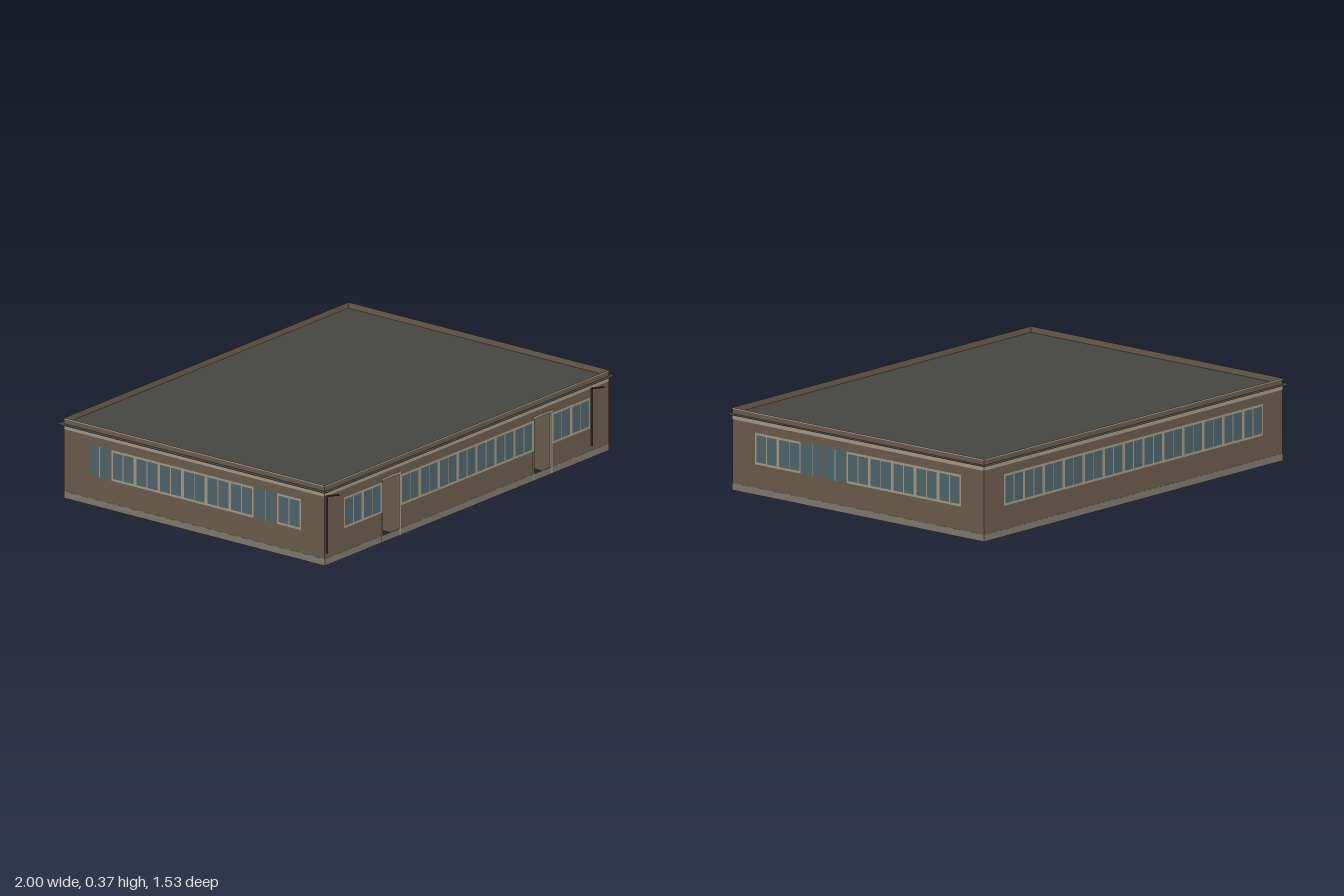
import * as THREE from 'three';
import { mergeGeometries } from 'three/addons/utils/BufferGeometryUtils.js';

const paint = (name, color, side = THREE.FrontSide) => {
  const m = new THREE.MeshStandardMaterial({ color, side });
  m.name = name;
  return m;
};

const M = 0.1303;            // module width
const NX = 15, NZ = 11;      // modules across and deep
const TOP = 0.365, EAVE = 0.338, CEILING = 0.312;
const SILL = 0.135, HEAD = 0.275;

// Box from minimum and maximum corners
function span(x0, x1, y0, y1, z0, z1) {
  const g = new THREE.BoxGeometry(x1 - x0, y1 - y0, z1 - z0);
  return g.translate((x0 + x1) / 2, (y0 + y1) / 2, (z0 + z1) / 2);
}

// Upright sheet facing +z
function sheet(x0, x1, y0, y1, z) {
  return new THREE.PlaneGeometry(x1 - x0, y1 - y0).translate((x0 + x1) / 2, (y0 + y1) / 2, z);
}

function addPart(group, name, geometries, material) {
  if (!geometries.length) return;
  const mesh = new THREE.Mesh(mergeGeometries(geometries), material);
  mesh.name = name;
  group.add(mesh);
}

// One facade along local x, facing local +z at distance d
function buildWall(name, n, d, doors, unframed, mats) {
  const wall = new THREE.Group();
  wall.name = name;
  const brick = [], base = [], trim = [], glass = [], inner = [], panel = [];
  const half = (n * M) / 2, back = d - M;

  // Two-pane window in the module starting at x, on the plane z
  const addWindow = (x, z, framed) => {
    const e = framed ? 0 : 0.006;
    glass.push(sheet(x + e, x + M - e, SILL, HEAD, z + 0.0007));
    const mid = x + M / 2, w = framed ? 0.0025 : 0.0015;
    trim.push(sheet(mid - w, mid + w, SILL, HEAD, z + 0.0014));
    if (!framed) return;
    for (const s of [x, x + M - 0.008]) trim.push(sheet(s, s + 0.008, SILL, HEAD, z + 0.0014));
    for (const y of [SILL, HEAD - 0.01]) trim.push(sheet(x, x + M, y, y + 0.01, z + 0.0014));
  };

  for (let i = 0; i < n; i++) {
    const x = -half + i * M;
    // Plinth runs on under the doors as a threshold
    base.push(span(x, x + M, 0, 0.031, d - 0.002, d + 0.0007));
    if (doors.includes(i)) {
      // Recessed entrance with an open floor
      brick.push(span(x, x + M, 0.29, EAVE, d - 0.004, d));
      for (const s of [x, x + M - 0.009]) trim.push(span(s, s + 0.009, 0, 0.29, d - 0.006, d + 0.0014));
      trim.push(span(x, x + M, 0.279, 0.29, d - 0.006, d + 0.0014));
      panel.push(sheet(x, x + M, 0.031, SILL, back + 0.0007));
      addWindow(x, back, true);
    } else {
      brick.push(span(x, x + M, 0, EAVE, d - 0.004, d));
      if (i > 0 && i < n - 1) addWindow(x, d, !unframed.includes(i));
    }
    // Cross walls between the hollow cells behind the facade
    if (i > 0) brick.push(span(x - 0.001, x + 0.001, 0, CEILING, back, d - 0.004));
  }
  inner.push(span(-half + M, half - M, 0, CEILING, back - 0.002, back));
  // Parapet, its pale cap line and the cornice band
  brick.push(sheet(-half, half, EAVE, TOP, d));
  trim.push(sheet(-half, half, TOP - 0.006, TOP, d + 0.0007));
  trim.push(sheet(-half, half, 0.314, 0.332, d + 0.0014));

  addPart(wall, name + 'Brick', brick, mats.brick);
  addPart(wall, name + 'Plinth', base, mats.concrete);
  addPart(wall, name + 'Trim', trim, mats.trim);
  addPart(wall, name + 'Glass', glass, mats.glass);
  addPart(wall, name + 'InnerWall', inner, mats.concrete);
  addPart(wall, name + 'DoorPanel', panel, mats.concrete);
  return wall;
}

export function createModel() {
  const mats = {
    brick: paint('brown brick', 0x6a5b4b, THREE.DoubleSide),
    concrete: paint('grey concrete', 0x7f796d),
    trim: paint('pale trim', 0xa39885),
    glass: paint('blue glass', 0x4e6469),
    roof: paint('dark roofing', 0x454640, THREE.DoubleSide),
    metal: paint('black metal', 0x2b2a27, THREE.DoubleSide),
  };
  const model = new THREE.Group();
  model.name = 'building';
  const house = new THREE.Group();
  house.name = 'house';
  house.position.z = -0.025;
  model.add(house);

  const hx = (NX * M) / 2, hz = (NZ * M) / 2;

  // Four facades
  const walls = [
    ['frontWall', NX, hz, 0, [3, 11], []],
    ['rearWall', NX, hz, Math.PI, [], []],
    ['positiveSideWall', NZ, hx, Math.PI / 2, [], [3, 4]],
    ['negativeSideWall', NZ, hx, -Math.PI / 2, [], [1, 8]],
  ];
  for (const [name, n, d, turn, doors, unframed] of walls) {
    const wall = buildWall(name, n, d, doors, unframed, mats);
    wall.rotation.y = turn;
    house.add(wall);
  }

  // Thin overhanging roof sheet inside the low parapet
  const roof = new THREE.Mesh(new THREE.PlaneGeometry(2, 1.474).rotateX(-Math.PI / 2), mats.roof);
  roof.name = 'roof';
  roof.position.set(0, EAVE, -0.003);
  house.add(roof);

  // Floor of square tiles, with open shafts
  const shafts = ['7,3', '3,6', '4,6', '4,7', '4,8', '11,6', '10,6', '10,7', '10,8'];
  const tiles = [], shaftWalls = [];
  for (let i = 1; i < NX - 1; i++) {
    for (let k = 1; k < NZ - 1; k++) {
      const x = -hx + i * M, z = -hz + k * M;
      if (!shafts.includes(`${i},${k}`)) {
        tiles.push(span(x, x + M, 0.001, 0.004, z, z + M));
        continue;
      }
      for (const s of [x, x + M]) shaftWalls.push(span(s - 0.001, s + 0.001, 0, CEILING, z, z + M));
      for (const s of [z, z + M]) shaftWalls.push(span(x, x + M, 0, CEILING, s - 0.001, s + 0.001));
    }
  }
  addPart(house, 'floor', tiles, mats.concrete);
  addPart(house, 'shaftWalls', shaftWalls, mats.concrete);

  // Flat downpipes with sloping spouts on the front
  for (const x of [-0.97, 0.853]) {
    const pipe = new THREE.Group();
    pipe.name = 'downpipe';
    const stem = new THREE.Mesh(new THREE.PlaneGeometry(0.01, 0.26).rotateY(Math.PI / 2), mats.metal);
    stem.name = 'downpipeStem';
    stem.position.set(0, 0.185, 0.697);
    const arm = new THREE.Mesh(new THREE.BoxGeometry(0.006, 0.006, 0.075), mats.metal);
    arm.name = 'downpipeSpout';
    arm.position.set(0, 0.325, 0.728);
    arm.rotation.x = -0.3;
    pipe.add(stem, arm);
    pipe.position.x = x;
    model.add(pipe);
  }
  return model;
}
